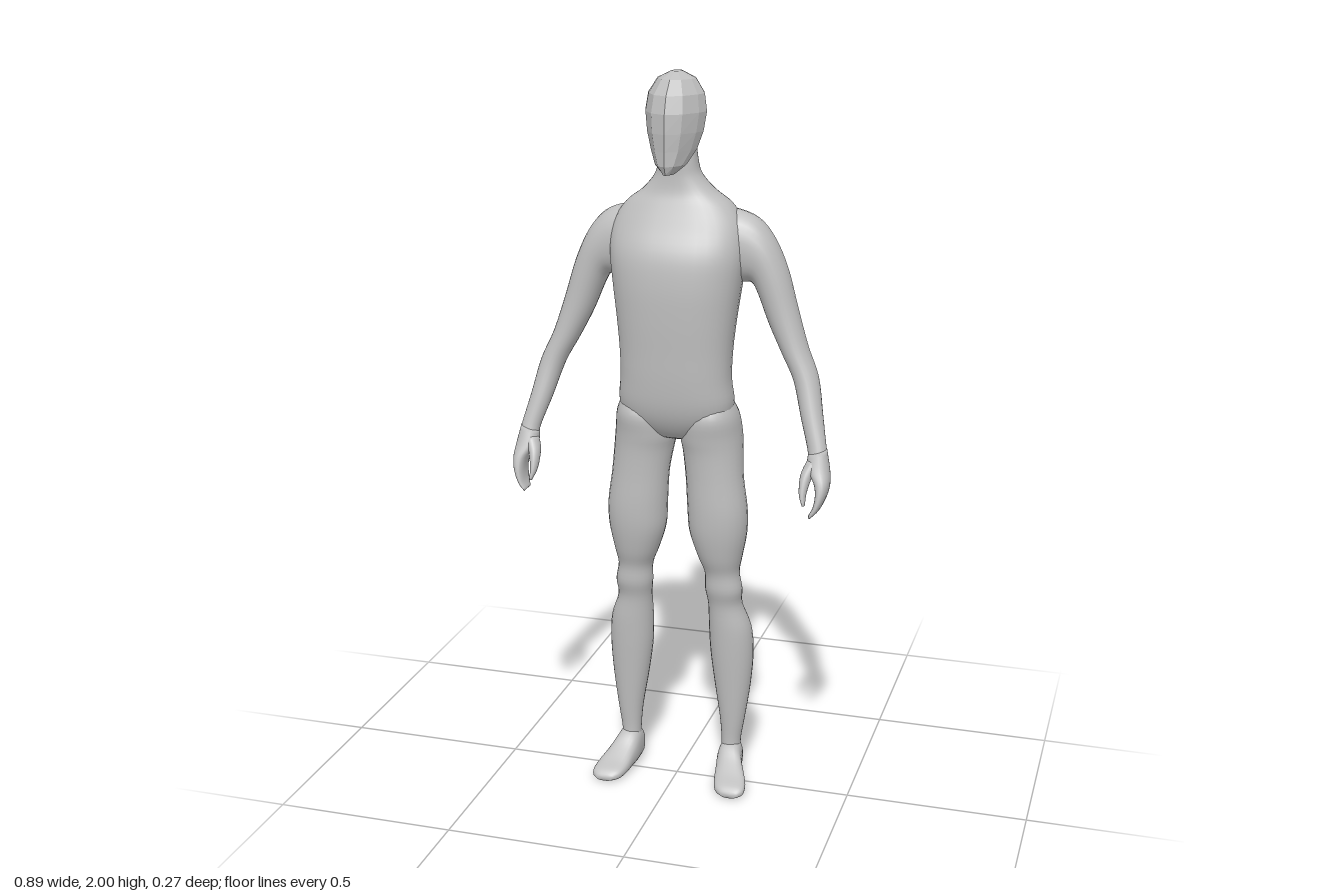
import * as THREE from 'three';

// Cross-section outlines, as unit (x, z) pairs
const rounded = (e) => (a) => [Math.sin(a), Math.cos(a)].map((k) => Math.sign(k) * Math.abs(k) ** (2 / e));
const keeled = (a) => [Math.sin(a), Math.cos(a) * Math.abs(Math.cos(a)) ** 0.6];

// Ring across a limb: outer point (ax, ay), inner point (bx, by), front and back z
const across = ([ax, ay, bx, by, zf, zb]) => ({
  c: new THREE.Vector3((ax + bx) / 2, (ay + by) / 2, (zf + zb) / 2),
  u: new THREE.Vector3((ax - bx) / 2, (ay - by) / 2, 0),
  v: new THREE.Vector3(0, 0, (zf - zb) / 2),
});
// Level ring centred on the body: height, half width, front and back z
const level = ([y, w, zf, zb]) => across([w, y, -w, y, zf, zb]);
// Upright ring across a foot: x, z, half width, height
const upright = ([x, z, w, bottom, top]) => ({
  c: new THREE.Vector3(x, (top + bottom) / 2, z),
  u: new THREE.Vector3(w, 0, 0),
  v: new THREE.Vector3(0, (top - bottom) / 2, 0),
});

// Closed skin through rings, with optional smooth in-between rings
function loft(rings, outline, sides, steps, side = 1) {
  const curve = (k) => new THREE.CatmullRomCurve3(rings.map((r) => r[k]), false, 'catmullrom', 0.5);
  const [C, U, V] = ['c', 'u', 'v'].map(curve);
  const rows = (rings.length - 1) * steps;
  const pos = [], index = [];
  const add = (p) => pos.push(p.x * side, p.y, p.z);
  for (let i = 0; i <= rows; i++) {
    const c = C.getPoint(i / rows), u = U.getPoint(i / rows), v = V.getPoint(i / rows);
    for (let j = 0; j < sides; j++) {
      const [s, t] = outline((j / sides) * Math.PI * 2);
      add(c.clone().addScaledVector(u, s).addScaledVector(v, t));
    }
  }
  add(rings[0].c);
  add(rings[rings.length - 1].c);
  const first = (rows + 1) * sides, last = rows * sides;
  for (let j = 0; j < sides; j++) {
    const k = (j + 1) % sides;
    for (let i = 0; i < rows; i++) {
      const a = i * sides + j, b = i * sides + k;
      index.push(a, b, b + sides, a, b + sides, a + sides);
    }
    index.push(first, k, j, first + 1, last + j, last + k);
  }
  // Turn the faces outward if the enclosed volume is negative
  let volume = 0;
  const at = (i) => new THREE.Vector3().fromArray(pos, i * 3);
  for (let i = 0; i < index.length; i += 3) {
    volume += at(index[i]).dot(at(index[i + 1]).cross(at(index[i + 2])));
  }
  if (volume < 0) index.reverse();
  const g = new THREE.BufferGeometry();
  g.setAttribute('position', new THREE.Float32BufferAttribute(pos, 3));
  g.setIndex(index);
  g.computeVertexNormals();
  return g;
}

export function createModel() {
  const model = new THREE.Group();
  const skin = new THREE.MeshStandardMaterial({ color: 0xbfbfbf });
  skin.name = 'plain grey';
  const add = (name, geometry) => {
    const mesh = new THREE.Mesh(geometry, skin);
    mesh.name = name;
    model.add(mesh);
  };

  // Faceted head with a ridge down the middle
  const head = loft([
    [1.745, 0.015, 0.108, 0.04], [1.768, 0.042, 0.117, 0.0], [1.805, 0.062, 0.117, -0.06],
    [1.85, 0.076, 0.118, -0.085], [1.9, 0.083, 0.115, -0.096], [1.945, 0.076, 0.1, -0.09],
    [1.982, 0.052, 0.066, -0.064], [2.0, 0.015, 0.02, -0.02],
  ].map(level), keeled, 12, 1).toNonIndexed();
  head.computeVertexNormals();
  add('head', head);

  // Neck, chest, waist and hips
  add('torso', loft([
    [1.84, 0.045, 0.03, -0.055], [1.77, 0.052, 0.036, -0.06], [1.73, 0.064, 0.036, -0.068],
    [1.69, 0.1, 0.04, -0.085], [1.655, 0.145, 0.052, -0.102], [1.6, 0.178, 0.075, -0.122],
    [1.53, 0.185, 0.105, -0.136], [1.45, 0.175, 0.115, -0.126], [1.36, 0.163, 0.114, -0.11],
    [1.27, 0.154, 0.109, -0.094], [1.19, 0.152, 0.104, -0.085], [1.12, 0.158, 0.095, -0.093],
    [1.07, 0.14, 0.078, -0.09], [1.03, 0.08, 0.05, -0.065], [1.015, 0.03, 0.02, -0.03],
  ].map(level), rounded(2.4), 36, 4));

  for (const [name, side] of [['left', 1], ['right', -1]]) {
    const limb = (part, rings, e = 2.1) =>
      add(name + part, loft(rings, rounded(e), 24, 4, side));

    // Arm from inside the shoulder to the wrist
    limb('Arm', [
      [0.09, 1.65, 0.08, 1.47, 0.03, -0.1], [0.15, 1.645, 0.125, 1.455, 0.03, -0.105],
      [0.21, 1.622, 0.172, 1.45, 0.025, -0.104], [0.255, 1.57, 0.198, 1.45, 0.022, -0.1],
      [0.292, 1.49, 0.216, 1.42, 0.02, -0.094], [0.322, 1.39, 0.247, 1.345, 0.02, -0.08],
      [0.354, 1.29, 0.285, 1.27, 0.025, -0.065], [0.388, 1.21, 0.322, 1.2, 0.035, -0.045],
      [0.408, 1.12, 0.35, 1.11, 0.058, -0.008], [0.424, 1.05, 0.375, 1.035, 0.078, 0.028],
      [0.432, 1.015, 0.38, 1.005, 0.088, 0.036],
    ].map(across));

    // Palm and curled fingers
    limb('Hand', [
      [0.428, 1.035, 0.379, 1.02, 0.083, 0.032], [0.439, 0.985, 0.379, 0.985, 0.1, 0.037],
      [0.443, 0.95, 0.401, 0.95, 0.116, 0.042], [0.437, 0.915, 0.408, 0.92, 0.126, 0.05],
      [0.421, 0.88, 0.405, 0.89, 0.131, 0.062], [0.402, 0.86, 0.395, 0.867, 0.131, 0.085],
    ].map(across), 2.3);
    limb('Thumb', [
      [0.415, 1.01, 0.379, 1.005, 0.088, 0.045], [0.397, 0.965, 0.366, 0.97, 0.11, 0.065],
      [0.387, 0.925, 0.367, 0.925, 0.125, 0.093], [0.386, 0.895, 0.378, 0.895, 0.131, 0.115],
    ].map(across));

    // Leg with buttock, thigh, knee and calf
    limb('Leg', [
      [0.145, 1.14, 0.05, 1.12, 0.06, -0.06], [0.168, 1.09, 0.02, 1.08, 0.08, -0.1],
      [0.176, 1.035, 0.008, 1.025, 0.074, -0.114], [0.18, 0.985, 0.016, 0.98, 0.068, -0.102],
      [0.185, 0.91, 0.026, 0.91, 0.066, -0.078], [0.197, 0.82, 0.031, 0.82, 0.067, -0.078],
      [0.196, 0.75, 0.036, 0.75, 0.062, -0.08], [0.183, 0.68, 0.058, 0.68, 0.048, -0.075],
      [0.174, 0.63, 0.077, 0.63, 0.032, -0.067], [0.182, 0.58, 0.078, 0.58, 0.029, -0.067],
      [0.18, 0.53, 0.084, 0.53, 0.016, -0.078], [0.203, 0.46, 0.084, 0.46, 0.013, -0.097],
      [0.209, 0.38, 0.087, 0.38, 0.008, -0.106], [0.202, 0.28, 0.1, 0.28, 0.0, -0.098],
      [0.188, 0.18, 0.116, 0.18, -0.008, -0.082], [0.177, 0.11, 0.122, 0.11, -0.013, -0.074],
      [0.177, 0.06, 0.122, 0.06, -0.01, -0.074],
    ].map(across));

    // Foot, turned slightly outward
    limb('Foot', [
      [0.148, -0.086, 0.016, 0.012, 0.06], [0.148, -0.075, 0.028, 0.002, 0.09],
      [0.15, -0.045, 0.033, 0, 0.108], [0.153, -0.01, 0.036, 0, 0.1],
      [0.163, 0.025, 0.041, 0, 0.072], [0.174, 0.065, 0.046, 0, 0.047],
      [0.181, 0.1, 0.041, 0, 0.032], [0.184, 0.118, 0.022, 0.003, 0.018],
    ].map(upright), 2.6);
  }
  return model;
}
